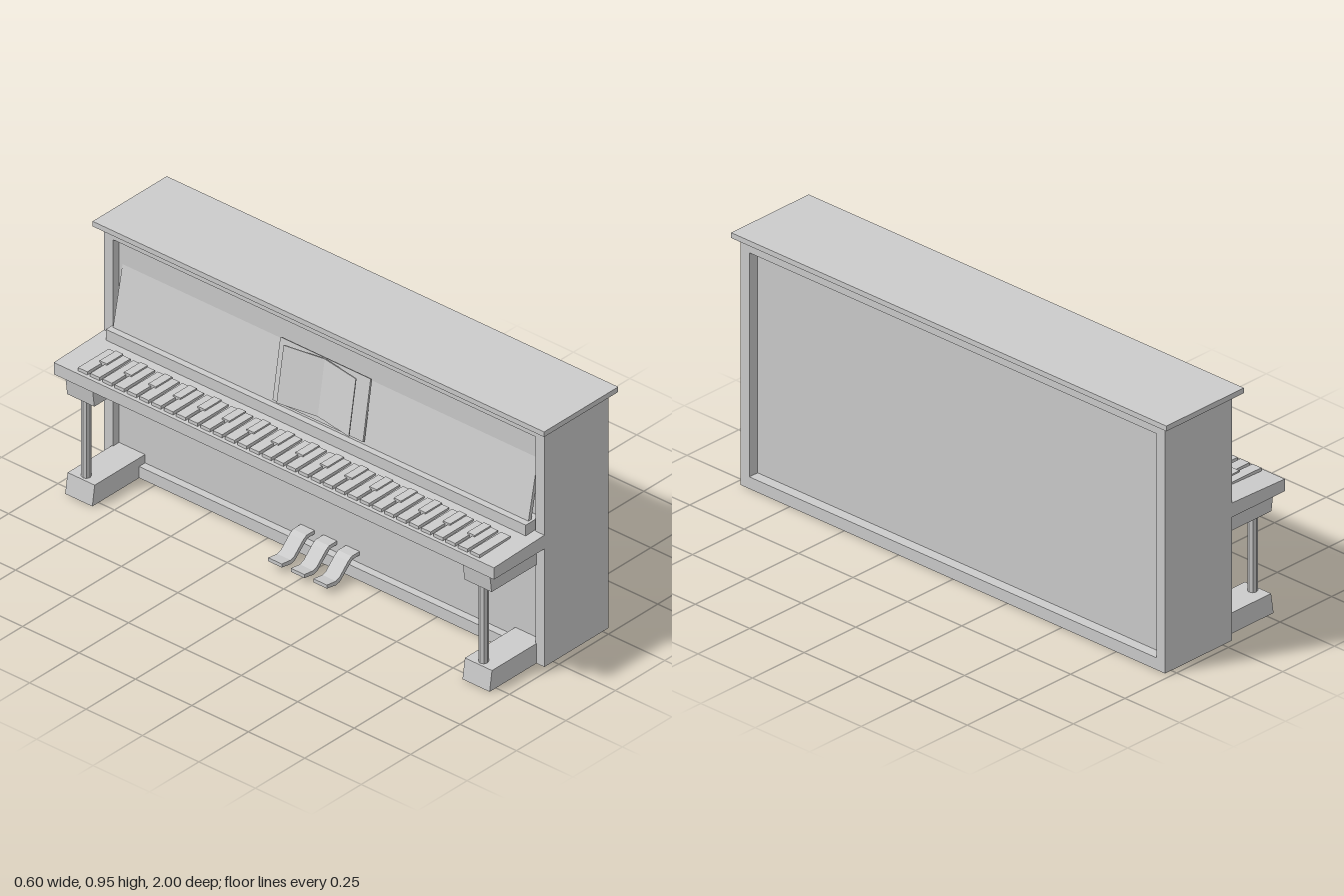
import * as THREE from 'three';

export function createModel() {
  const model = new THREE.Group();
  const mat = new THREE.MeshStandardMaterial({ color: 0xcccccc, flatShading: true });

  const add = (name, geometry) => {
    const mesh = new THREE.Mesh(geometry, mat);
    mesh.name = name;
    model.add(mesh);
    return mesh;
  };
  // Box given by its bounds
  const box = (name, x0, x1, y0, y1, z0, z1) =>
    add(name, new THREE.BoxGeometry(x1 - x0, y1 - y0, z1 - z0)
      .translate((x0 + x1) / 2, (y0 + y1) / 2, (z0 + z1) / 2));
  // Side profile in x, y carried along z
  const prism = (name, points, z0, z1) => {
    const shape = new THREE.Shape(points.map(([x, y]) => new THREE.Vector2(x, y)));
    return add(name, new THREE.ExtrudeGeometry(shape, { depth: z1 - z0, bevelEnabled: false })
      .translate(0, 0, z0));
  };

  // Cabinet: frame with a recessed panel on both long faces
  for (const s of [-1, 1]) {
    box('cabinetSide', -0.045, 0.28, 0, 0.93, s > 0 ? 0.935 : -0.975, s > 0 ? 0.975 : -0.935);
  }
  box('bottomRail', -0.045, 0.28, 0, 0.045, -0.935, 0.935);
  box('topRail', -0.045, 0.28, 0.89, 0.93, -0.935, 0.935);
  box('cabinetPanels', -0.015, 0.24, 0.045, 0.89, -0.935, 0.935);
  box('lid', -0.075, 0.3, 0.93, 0.95, -1, 1);

  // Keybed with gently rising top
  prism('keybed', [[-0.3, 0.465], [-0.015, 0.465], [-0.015, 0.52], [-0.045, 0.519], [-0.3, 0.511]], -0.975, 0.975);
  box('fallboard', -0.088, -0.015, 0.515, 0.56, -0.93, 0.93);

  // Leaning music panel and rest
  prism('musicPanel', [[-0.063, 0.56], [-0.048, 0.56], [0.005, 0.81], [-0.01, 0.81]], -0.92, 0.92);
  prism('musicRest', [[-0.078, 0.58], [-0.07, 0.576], [-0.031, 0.806], [-0.039, 0.81]], -0.2, 0.2);

  // Open book: a leaning sheet folded at the middle
  const book = new THREE.BoxGeometry(0.004, 0.21, 0.32, 1, 1, 2);
  const p = book.attributes.position;
  for (let i = 0; i < p.count; i++) {
    p.setX(i, p.getX(i) + 0.17 * p.getY(i) - 0.16 * Math.abs(p.getZ(i)));
  }
  book.translate(-0.062, 0.705, 0.003);
  book.computeVertexNormals();
  add('openBook', book);

  // Keys
  const count = 33, pitch = 0.0543, start = -0.88;
  for (let i = 0; i < count; i++) {
    const z = start + i * pitch;
    box('whiteKey', -0.286, -0.13, 0.509, 0.524, z, z + pitch - 0.013);
    if (i % 2 === 0 && i < count - 1) {
      const mid = z + pitch - 0.0065;
      box('blackKey', -0.213, -0.13, 0.515, 0.53, mid - 0.016, mid + 0.016);
    }
  }

  // Brackets, legs and feet at both ends
  for (const s of [-1, 1]) {
    const z = s * 0.88;
    prism('bracket', [[-0.272, 0.388], [-0.015, 0.388], [-0.015, 0.466], [-0.282, 0.466]], z - 0.06, z + 0.06);
    prism('foot', [[-0.282, 0], [-0.015, 0], [-0.015, 0.078], [-0.27, 0.078]], z - 0.06, z + 0.06);
    add('leg', new THREE.CylinderGeometry(0.0175, 0.0175, 0.312, 8).translate(-0.244, 0.233, z));
  }

  // Three pedals
  for (const z of [-0.1, 0, 0.1]) {
    prism('pedal', [[-0.01, 0.076], [-0.05, 0.076], [-0.115, 0.018], [-0.135, 0.014], [-0.18, 0.022],
      [-0.18, 0.036], [-0.135, 0.03], [-0.117, 0.036], [-0.072, 0.079], [-0.055, 0.09], [-0.01, 0.09]], z - 0.03, z + 0.03);
  }
  return model;
}
